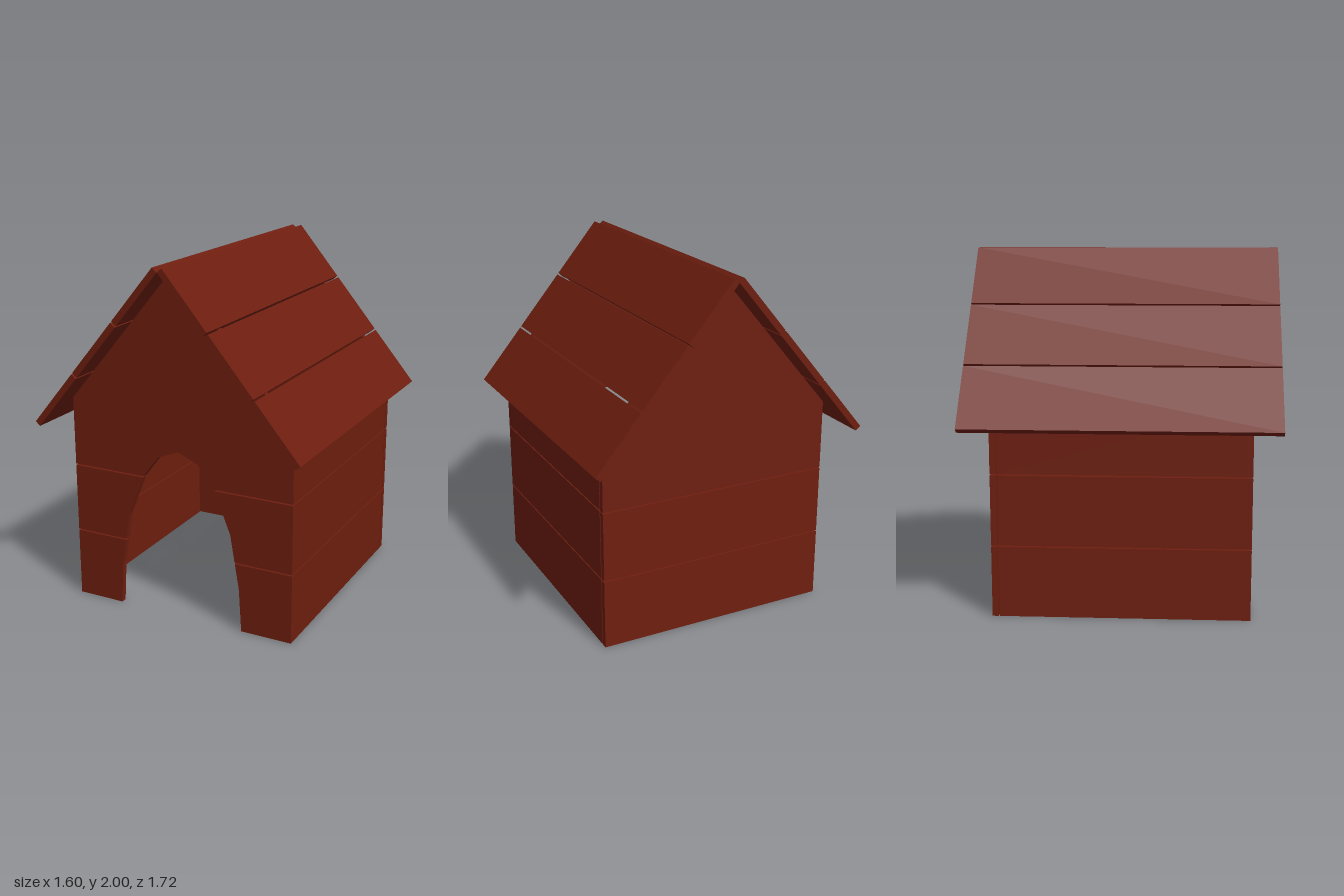
import * as THREE from 'three';

const material = new THREE.MeshStandardMaterial({ color: 0x6e1e0f, flatShading: true });

const LEFT = -0.65, RIGHT = 0.7, DEPTH = 0.71, THICK = 0.034;
const ROWS = [[0, 0.396], [0.404, 0.796]];
const UPPER = 0.804; // bottom of the topmost boards
const GABLE = [[RIGHT, UPPER], [RIGHT, 1.18], [0.012, 1.98], [LEFT, 1.197], [LEFT, UPPER]];

// Doorway: half width against height
const DOOR_X = 0.016;
const ARCH = [[0.385, 0], [0.37, 0.25], [0.318, 0.56], [0.222, 0.8], [0.122, 0.93], [0, 0.98]];

function archHalfWidth(y) {
  const i = ARCH.findIndex((p, k) => k > 0 && y <= p[1]);
  const [w0, y0] = ARCH[i - 1], [w1, y1] = ARCH[i];
  return w0 + (w1 - w0) * (y - y0) / (y1 - y0);
}

// Arch edge of one side (+1 or -1) between two heights, going upward
function archEdge(side, y0, y1) {
  const heights = [y0, ...ARCH.map(p => p[1]).filter(y => y > y0 && y < y1), y1];
  return heights.map(y => [DOOR_X + side * archHalfWidth(y), y]);
}

function createModel() {
  const model = new THREE.Group();
  model.name = 'kennel';

  const add = (parent, name, geometry) => {
    const mesh = new THREE.Mesh(geometry, material);
    mesh.name = name;
    parent.add(mesh);
    return mesh;
  };
  const group = (name) => {
    const g = new THREE.Group();
    g.name = name;
    model.add(g);
    return g;
  };
  // Flat board cut to an outline in x and y
  const panel = (parent, name, points, z) => {
    const shape = new THREE.Shape(points.map(p => new THREE.Vector2(p[0], p[1])));
    add(parent, name, new THREE.ExtrudeGeometry(shape, { depth: THICK, bevelEnabled: false })).position.z = z;
  };

  // Back wall: two boards and a gable
  const back = group('backWall');
  for (const [y0, y1] of ROWS) {
    panel(back, 'backBoard', [[LEFT, y0], [RIGHT, y0], [RIGHT, y1], [LEFT, y1]], -DEPTH);
  }
  panel(back, 'backGable', GABLE, -DEPTH);

  // Front wall: boards split by the arched doorway
  const front = group('frontWall');
  const frontZ = DEPTH - THICK;
  for (const [y0, y1] of ROWS) {
    for (const side of [-1, 1]) {
      const outer = side > 0 ? RIGHT : LEFT;
      panel(front, 'frontBoard', [[outer, y1], [outer, y0], ...archEdge(side, y0, y1)], frontZ);
    }
  }
  const top = ARCH[ARCH.length - 1][1];
  const arch = [...archEdge(-1, UPPER, top), ...archEdge(1, UPPER, top).reverse().slice(1)];
  panel(front, 'frontGable', [...GABLE, ...arch], frontZ);

  // Side walls: three boards each, stopping just short of the back wall
  const sides = group('sideWalls');
  const z0 = -DEPTH + THICK + 0.007, z1 = frontZ;
  for (const [x, wallTop] of [[LEFT + THICK / 2, 1.19], [RIGHT - THICK / 2, 1.155]]) {
    for (const [y0, y1] of [...ROWS, [UPPER, wallTop]]) {
      add(sides, 'sideBoard', new THREE.BoxGeometry(THICK, y1 - y0, z1 - z0))
        .position.set(x, (y0 + y1) / 2, (z0 + z1) / 2);
    }
  }

  // Roof: three long boards per slope, laid down from the ridge
  const slope = THREE.MathUtils.degToRad(50);
  const pitch = 0.405, boardLength = 0.394, roofThick = 0.036;
  for (const side of [-1, 1]) {
    const roof = group(side > 0 ? 'leftRoof' : 'rightRoof');
    roof.position.set(side * 0.028, 2, 0);
    roof.rotation.z = -side * slope;
    for (let i = 0; i < 3; i++) {
      add(roof, 'roofBoard', new THREE.BoxGeometry(boardLength, roofThick, 1.72))
        .position.set(side * (i * pitch + boardLength / 2), -roofThick / 2, 0);
    }
  }

  return model;
}

export { createModel };
